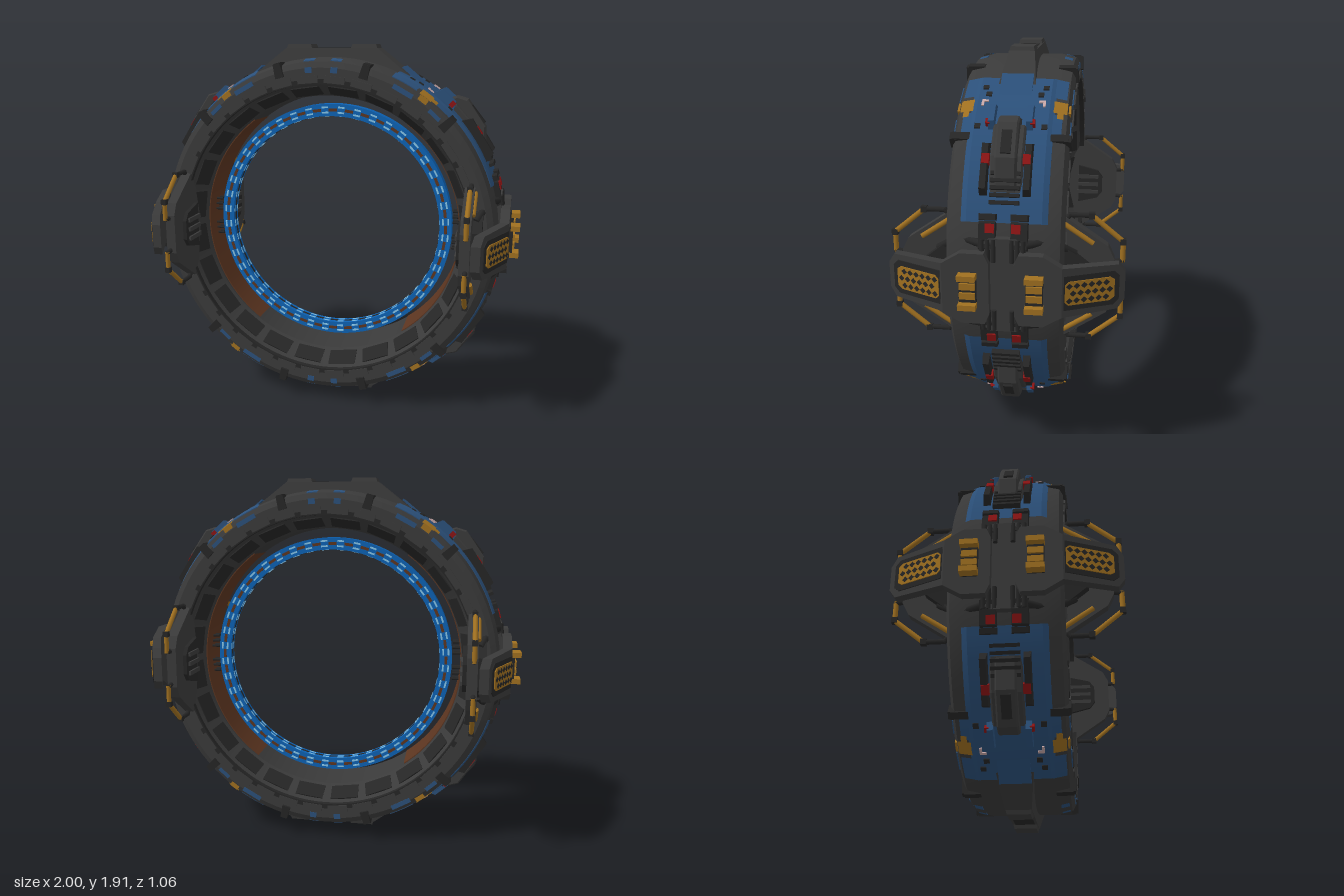
import * as THREE from 'three';
import { toCreasedNormals } from 'three/addons/utils/BufferGeometryUtils.js';

const CY = 0.957;
const rad = THREE.MathUtils.degToRad;
const mat = (name, color) => {
  const m = new THREE.MeshStandardMaterial({ color });
  m.name = name;
  return m;
};

export function createModel() {
  const grey = mat('hull grey', 0x3a3a3a), dark = mat('dark metal', 0x262626);
  const blue = mat('blue paint', 0x2b507a), glow = mat('emitter blue', 0x0d62b4);
  const cyan = mat('light cyan', 0x8fd2f8), gold = mat('worn gold', 0xa07020);
  const rust = mat('rust brown', 0x5c3520), red = mat('signal red', 0x8c1414);
  const pale = mat('pale marking', 0xc8a8a8);

  const root = new THREE.Group();
  const gate = new THREE.Group();
  gate.name = 'gate';
  gate.position.y = CY;
  root.add(gate);

  const add = (parent, name, geo, m, x = 0, y = 0, z = 0) => {
    const mesh = new THREE.Mesh(geo, m);
    mesh.name = name;
    mesh.position.set(x, y, z);
    parent.add(mesh);
    return mesh;
  };
  const box = (parent, name, m, w, h, d, x, y, z) =>
    add(parent, name, new THREE.BoxGeometry(w, h, d), m, x, y, z);
  // box placed on the ring: w radial, h tangential, d axial
  const polar = (name, m, deg, r, z, w, h, d, sy = 1, sz = 1) => {
    const mesh = add(gate, name, taper(w, h, d, sy, sz), m, r * Math.cos(rad(deg)), r * Math.sin(rad(deg)), z);
    mesh.rotation.z = rad(deg);
    return mesh;
  };
  // box whose +x end is scaled in y and z
  function taper(w, h, d, sy, sz) {
    const g = new THREE.BoxGeometry(w, h, d), p = g.attributes.position;
    for (let i = 0; i < p.count; i++) {
      if (p.getX(i) > 0) p.setXYZ(i, p.getX(i), p.getY(i) * sy, p.getZ(i) * sz);
    }
    g.computeVertexNormals();
    return g;
  }
  // closed (r, z) profile swept round the z axis between two angles
  const sweep = (name, m, pts, from = 0, to = 360, segs = 96) => {
    const loop = [...pts, pts[0]].map(([r, z]) => new THREE.Vector2(r, z));
    const g = new THREE.LatheGeometry(loop, segs, rad(from + 90), rad(to - from));
    g.rotateX(Math.PI / 2);
    return add(gate, name, toCreasedNormals(g, 0.3), m);
  };
  const band = (r0, r1, z0, z1) => [[r0, z0], [r1, z0], [r1, z1], [r0, z1]];
  // thin paint on the sloping shoulder of the ring, mid angle a and width w
  const paint = (name, m, a, w, s, z0, z1) => {
    const r = (z) => 0.893 - 0.24 * (z - 0.17);
    const pts = [[r(z0) - 0.004, z0], [r(z0) + 0.004, z0], [r(z1) + 0.004, z1], [r(z1) - 0.004, z1]];
    sweep(name, m, s > 0 ? pts : pts.map(([q, z]) => [q, -z]).reverse(), a - w / 2, a + w / 2, 6);
  };
  const bar = (parent, name, m, a, b, r) => {
    const A = new THREE.Vector3(...a), B = new THREE.Vector3(...b), d = B.clone().sub(A);
    const mesh = add(parent, name, new THREE.CylinderGeometry(r, r, d.length() + r, 8), m);
    mesh.position.copy(A).add(B).multiplyScalar(0.5);
    mesh.quaternion.setFromUnitVectors(new THREE.Vector3(0, 1, 0), d.normalize());
  };
  const shape = (pts) => new THREE.Shape(pts.map(([x, y]) => new THREE.Vector2(x, y)));
  // (z, y) outline extruded from x0 to x1, leaning inwards beyond |z| = 0.26
  const sidePlate = (parent, name, m, pts, x0, x1, lean = 0) => {
    const g = new THREE.ExtrudeGeometry(shape(pts), { depth: x1 - x0, bevelEnabled: false });
    g.rotateY(-Math.PI / 2).translate(x1, 0, 0);
    const p = g.attributes.position;
    for (let i = 0; i < p.count; i++) p.setX(i, p.getX(i) - lean * (Math.abs(p.getZ(i)) - 0.26));
    g.computeVertexNormals();
    return add(parent, name, g, m);
  };

  // main ring
  const half = [[0.893, 0.17], [0.875, 0.245], [0.845, 0.262], [0.79, 0.262], [0.765, 0.24], [0.70, 0.12]];
  sweep('mainRing', grey, [...half.map(([r, z]) => [r, -z]).reverse(), ...half]);
  for (const a of [0, 180]) sweep('innerBand', rust, band(0.695, 0.703, -0.11, 0.11), a - 54, a + 54, 32);
  for (const s of [1, -1]) {
    const zs = (a, b) => (s > 0 ? [a, b] : [-b, -a]);
    sweep('innerRim', dark, band(0.765, 0.79, ...zs(0.24, 0.266)));
    for (let i = 0; i < 36; i++) polar('rimPanel', grey, i * 10 + 5, 0.788, s * 0.262, 0.035, 0.105, 0.014);
    for (let i = 0; i < 24; i++) polar('flarePanel', dark, i * 15 + 7.5, 0.731, s * 0.18, 0.012, 0.15, 0.09).rotateY(s * 0.5);
    for (const q of [90, 270]) {
      for (const k of [-1, 1]) {
        // clamps gripping the ring edge
        for (const a of [15, 47]) {
          polar('clamp', dark, q + k * a, 0.855, s * 0.255, 0.07, 0.045, 0.04, 0.8, 0.8);
          polar('clampStrap', dark, q + k * a, 0.885, s * 0.22, 0.02, 0.035, 0.08);
        }
        // worn paint patches
        paint('blueSpot', blue, q + k * 4.5, 3.6, s, 0.195, 0.235);
        polar('blueSpot', blue, q + k * 4.5, 0.835, s * 0.262, 0.028, 0.035, 0.005);
        paint('bluePatch', blue, q + k * 28, 9, s, 0.17, 0.238);
        paint('bluePatch', blue, q + k * 43, 8, s, 0.17, 0.225);
        paint('goldPatch', gold, q + k * 36, 4.5, s, 0.18, 0.244);
        paint('goldPatch', gold, q + k * 39, 2.5, s, 0.2, 0.228);
        polar('goldPatch', gold, q + k * 36, 0.861, s * 0.254, 0.028, 0.05, 0.01);
        polar('bluePatch', blue, q + k * 29, 0.842, s * 0.262, 0.024, 0.11, 0.005);
        polar('bluePatch', blue, q + k * 42, 0.842, s * 0.262, 0.02, 0.07, 0.005);
        polar('paleMark', pale, q + k * 36, 0.907, s * 0.14, 0.006, 0.028, 0.012);
        polar('paleMark', pale, q + k * 35, 0.907, s * 0.13, 0.006, 0.012, 0.03);
        for (const [a, z] of [[29, 0.14], [32, 0.12], [44, 0.15]]) polar('bareSpot', dark, q + k * a, 0.904, s * z, 0.006, 0.026, 0.026);
      }
    }
  }

  // glowing inner ring with dashes on both faces and the inside
  sweep('emitterRing', glow, band(0.585, 0.65, -0.03, 0.03));
  for (let i = 0; i < 44; i++) {
    const a = i * 360 / 44;
    for (const s of [1, -1]) {
      polar('emitterGap', rust, a, 0.6175, s * 0.031, 0.015, 0.045, 0.005);
      polar('emitterDash', cyan, a + 4, 0.604, s * 0.031, 0.009, 0.036, 0.006);
      polar('emitterDash', cyan, a + 4, 0.632, s * 0.031, 0.009, 0.036, 0.006);
      polar('innerDash', cyan, a + 4, 0.585, s * 0.016, 0.005, 0.036, 0.008);
    }
    polar('innerGap', dark, a, 0.585, 0, 0.005, 0.045, 0.014);
  }

  // blue painted armour arcs and the raised diagonal armour on them
  const blueArc = [[0.88, -0.19], [0.891, -0.19], [0.902, -0.165], [0.902, 0.165], [0.891, 0.19], [0.88, 0.19]];
  for (const q of [0, 90, 180, 270]) {
    const flip = q === 90 || q === 270;
    const c = (a) => (flip ? q + 90 - a : q + a);
    const [lo, hi] = [c(18), c(66)].sort((a, b) => a - b);
    sweep('blueArmour', blue, blueArc, lo, hi, 16);
    const sx = q === 0 || q === 270 ? 1 : -1, sy = q < 180 ? 1 : -1;
    const block = (name, m, pts, d) => {
      const g = new THREE.ExtrudeGeometry(shape(pts.map(([x, y]) => [x * sx, y * sy])),
        { depth: d, bevelEnabled: true, bevelSize: 0.008, bevelThickness: 0.008, bevelSegments: 1 });
      add(gate, name, g.translate(0, 0, -d / 2), m);
    };
    block('armourBase', grey, [[0.56, 0.62], [0.65, 0.655], [0.75, 0.545], [0.80, 0.40], [0.79, 0.34], [0.72, 0.34]], 0.13);
    block('armourCrest', grey, [[0.58, 0.67], [0.65, 0.695], [0.70, 0.68], [0.79, 0.55], [0.80, 0.40], [0.72, 0.38]], 0.08);
    for (let i = 0; i < 5; i++) polar('armourRib', dark, c(23.5 + i * 2), 0.905, 0, 0.045, 0.016, 0.13);
    polar('crestSlot', dark, c(39), 0.972, 0, 0.014, 0.11, 0.045);
    for (const s of [1, -1]) {
      polar('blueFinger', blue, c(49), 0.92, s * 0.085, 0.04, 0.13, 0.03, 0.7, 0.9);
      polar('shoulder', dark, c(33), 0.918, s * 0.095, 0.05, 0.24, 0.035, 0.85, 0.8);
      polar('redLamp', red, c(35), 0.93, s * 0.09, 0.034, 0.045, 0.034);
      polar('redLamp', red, c(46.5), 0.92, s * 0.1, 0.03, 0.025, 0.02);
      // pipe cluster beside the side pod
      polar('pipeBlock', dark, c(14.5), 0.895, s * 0.07, 0.05, 0.14, 0.08, 0.8, 0.9);
      polar('redLamp', red, c(16.5), 0.917, s * 0.057, 0.02, 0.04, 0.04);
      for (const z of [0.04, 0.065, 0.09]) bar(gate, 'pipe', dark, [sx * 0.905, sy * 0.12, s * z], [sx * 0.895, sy * 0.21, s * z], 0.011);
      polar('pipeCap', dark, c(19.5), 0.9, s * 0.07, 0.05, 0.035, 0.09, 0.7, 0.8);
    }
    // blue paint on the sloping keel end
    box(gate, 'keelPaint', blue, 0.2, 0.008, 0.15, sx * 0.452, sy * 0.781, 0).rotation.z = -sx * sy * 0.69;
  }

  // keel plates at top and bottom
  for (const s of [1, -1]) {
    const keel = new THREE.Group();
    keel.name = 'keelPlate';
    keel.rotation.z = s * Math.PI / 2;
    gate.add(keel);
    add(keel, 'keelBody', taper(0.237, 1.08, 0.21, 0.45, 0.6), grey, 0.8185);
    for (const k of [1, -1]) add(keel, 'keelTip', taper(0.025, 0.14, 0.125, 0.88, 0.9), grey, 0.944, k * 0.172);
    box(keel, 'keelNotch', dark, 0.006, 0.2, 0.1, 0.936, 0, 0);
  }

  // side pods
  for (const side of [0, Math.PI]) {
    const pod = new THREE.Group();
    pod.name = 'sidePod';
    pod.rotation.y = side;
    gate.add(pod);
    sidePlate(pod, 'podCore', grey, [[-0.1, -0.19], [-0.06, -0.22], [0.06, -0.22], [0.1, -0.19],
      [0.1, 0.19], [0.06, 0.22], [-0.06, 0.22], [-0.1, 0.19]], 0.83, 0.9);
    box(pod, 'podInner', dark, 0.1, 0.2, 0.24, 0.75, 0, 0);
    for (const y of [-0.1, -0.07, -0.04, 0.04, 0.07, 0.1]) {
      for (const z of [-0.02, 0.02]) bar(pod, 'pin', dark, [0.655, y, z], [0.72, y, z], 0.007);
    }
    for (const s of [1, -1]) {
      const mir = (pts) => [...pts.map(([z, y]) => [s * z, y]), ...pts.map(([z, y]) => [s * z, -y]).reverse()];
      // wing against the ring
      sidePlate(pod, 'wing', grey, mir([[0.12, 0.30], [0.265, 0.285], [0.45, 0.16], [0.48, 0.10]]), 0.725, 0.775);
      sidePlate(pod, 'wingLiner', dark, mir([[0.24, 0.12], [0.36, 0.09], [0.39, 0.05]]), 0.705, 0.73);
      for (const y of [-0.05, 0, 0.05]) box(pod, 'linerRib', grey, 0.012, 0.022, 0.13, 0.70, y, s * 0.3);
      sidePlate(pod, 'wingBrace', dark, mir([[0.2, 0.17], [0.27, 0.16], [0.37, 0.08]]), 0.77, 0.82);
      // outer arm: flat root and leaning blade
      sidePlate(pod, 'armRoot', grey, mir([[0.055, 0.12], [0.075, 0.165], [0.18, 0.165], [0.262, 0.115]]), 0.9, 0.945);
      sidePlate(pod, 'armBlade', grey, mir([[0.26, 0.115], [0.5, 0.105], [0.53, 0.06]]), 0.9, 0.945, 0.44);
      sidePlate(pod, 'grilleFrame', dark, mir([[0.27, 0.08], [0.48, 0.08], [0.505, 0.055]]), 0.938, 0.95, 0.44);
      sidePlate(pod, 'grille', gold, mir([[0.275, 0.04], [0.29, 0.055], [0.465, 0.055], [0.485, 0.04]]), 0.944, 0.955, 0.44);
      for (let i = 0; i < 6; i++) for (const y of [-0.034, 0, 0.034]) {
        const z = 0.294 + i * 0.031 + (y ? 0 : 0.0155);
        sidePlate(pod, 'grilleHole', dark, [[s * (z - 0.014), y], [s * z, y + 0.014], [s * (z + 0.014), y], [s * z, y - 0.014]], 0.95, 0.957, 0.44);
      }
      // stacked gold handles
      box(pod, 'handleBase', dark, 0.03, 0.16, 0.075, 0.95, 0, s * 0.145);
      for (const y of [-0.068, 0.068]) box(pod, 'handle', gold, 0.045, 0.026, 0.08, 0.975, y, s * 0.145);
      for (const y of [-0.022, 0.022]) box(pod, 'handlePlate', gold, 0.018, 0.03, 0.07, 0.966, y, s * 0.145);
      for (const t of [1, -1]) {
        // guard rail with gold middle sections
        const P = [[0.44, 0.08], [0.515, 0.09], [0.515, 0.18], [0.375, 0.295], [0.28, 0.295], [0.25, 0.26]]
          .map(([z, y]) => [0.757, t * y, s * z]);
        for (let i = 0; i < 5; i++) bar(pod, 'guardRail', i === 1 || i === 2 ? gold : dark, P[i], P[i + 1], 0.012);
        for (const i of [2, 3]) box(pod, 'railJoint', dark, 0.027, 0.027, 0.027, ...P[i]);
        bar(pod, 'wingStripe', gold, [0.777, t * 0.262, s * 0.25], [0.777, t * 0.175, s * 0.38], 0.012);
        // conduit from core to wing
        bar(pod, 'conduit', dark, [0.88, t * 0.19, s * 0.1], [0.84, t * 0.2, s * 0.2], 0.018);
        bar(pod, 'conduit', dark, [0.84, t * 0.2, s * 0.2], [0.79, t * 0.13, s * 0.3], 0.018);
      }
    }
  }
  return root;
}
